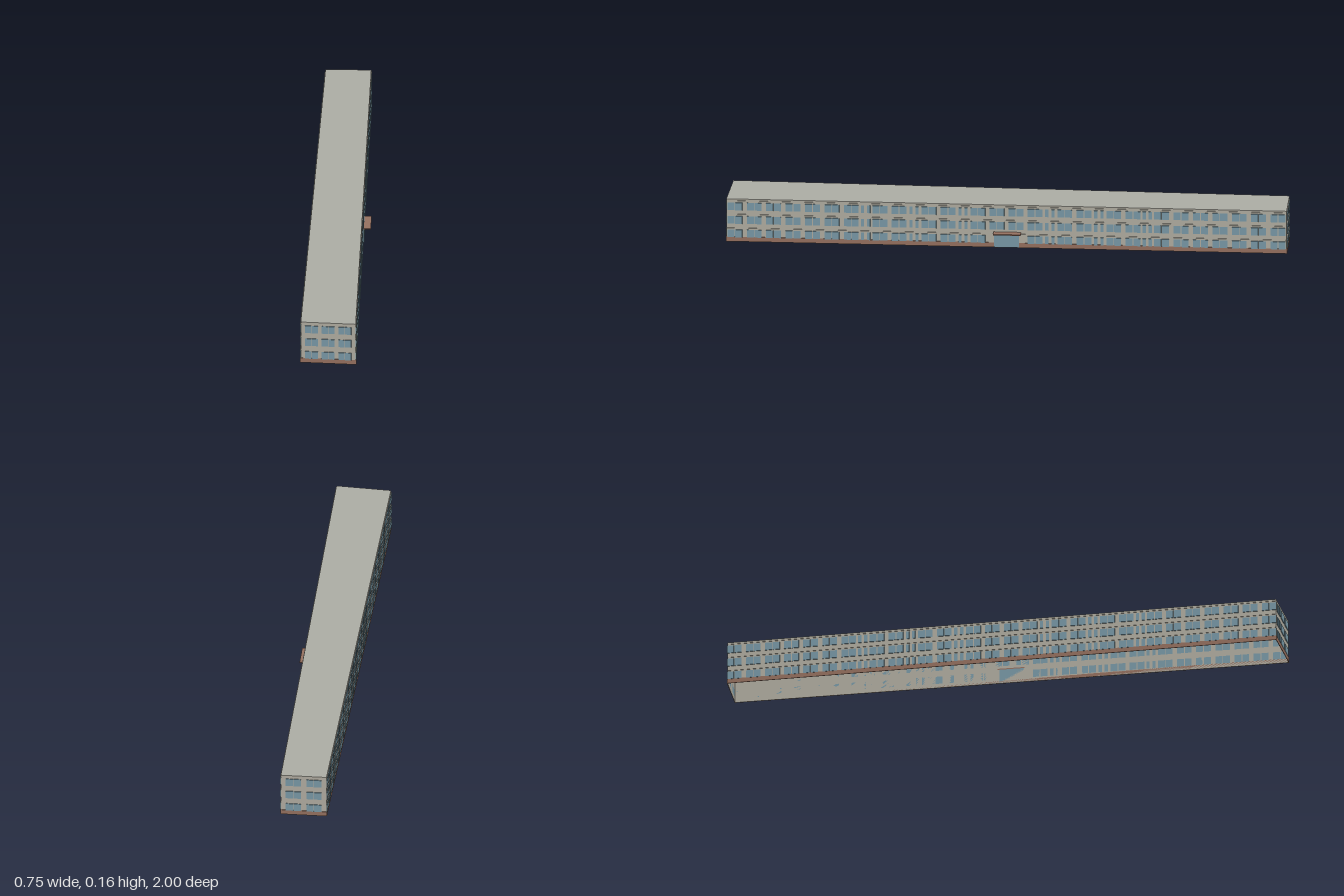
import * as THREE from 'three';

const H = 0.163;
const ROWS = [0.031, 0.083, 0.135]; // window centre heights
const WINDOW_H = 0.029;

// footprint corners as [x, z]
const FRONT_LEFT = [0.371, 0.953], FRONT_RIGHT = [0.176, 0.998];
const BACK_LEFT = [-0.212, -0.998], BACK_RIGHT = [-0.371, -0.95];

export function createModel() {
  const model = new THREE.Group();
  model.name = 'longBuilding';

  const wallMat = new THREE.MeshStandardMaterial({ color: 0xb0aca0, side: THREE.DoubleSide });
  wallMat.name = 'wallRender';
  const roofMat = new THREE.MeshStandardMaterial({ color: 0xabaca4, side: THREE.DoubleSide });
  roofMat.name = 'roofGrey';
  const glassMat = new THREE.MeshStandardMaterial({ color: 0x7898a6 });
  glassMat.name = 'windowGlass';
  const plinthMat = new THREE.MeshStandardMaterial({ color: 0x95705f });
  plinthMat.name = 'plinthBrown';

  // box standing off the wall plane of its facade group
  function plate(parent, name, mat, x, y, w, h, depth) {
    const mesh = new THREE.Mesh(new THREE.BoxGeometry(w, h, depth), mat);
    mesh.position.set(x, y, depth / 2);
    mesh.name = name;
    parent.add(mesh);
    return mesh;
  }

  // two panes with a thin mullion gap
  function windowPair(parent, x, y, w, gap) {
    const pane = (w - gap) / 2;
    for (const s of [-1, 1]) {
      plate(parent, 'windowPane', glassMat, x + s * (pane + gap) / 2, y, pane, WINDOW_H, 0.003);
    }
  }

  // wall between two corners; local +z points outward, local x runs from p to q
  function facade(name, p, q) {
    const dx = q[0] - p[0], dz = q[1] - p[1];
    const length = Math.hypot(dx, dz);
    const group = new THREE.Group();
    group.name = name;
    group.position.set((p[0] + q[0]) / 2, 0, (p[1] + q[1]) / 2);
    group.rotation.y = Math.atan2(-dz, dx);
    const wall = new THREE.Mesh(new THREE.PlaneGeometry(length, H), wallMat);
    wall.position.y = H / 2;
    wall.name = 'wall';
    group.add(wall);
    plate(group, 'plinth', plinthMat, 0, 0.009, length, 0.018, 0.002);
    model.add(group);
    return { group, length };
  }

  // long facade: wide windows broken by narrow stair windows, mirrored about the middle
  function longFacade(name, p, q, hasEntrance) {
    const { group, length } = facade(name, p, q);
    const wide = [0.035, 0.104, 0.212, 0.282, 0.39, 0.46];
    for (let i = 0; i < 7; i++) wide.push(0.564 + i * 0.0705);
    const narrow = [0.158, 0.336, 0.512];
    ROWS.forEach((y, row) => {
      for (const s of [-1, 1]) {
        for (const x of wide) {
          if (hasEntrance && row === 0 && x < 0.05) continue;
          windowPair(group, s * x, y, 0.054, 0.003);
        }
        for (const x of narrow) windowPair(group, s * x, y, 0.034, 0.01);
      }
    });
    for (const y of [0.051, 0.104, 0.156]) {
      plate(group, 'stringCourse', wallMat, 0, y, length, 0.002, 0.002);
    }
    return group;
  }

  // end facade: a few evenly spaced windows per floor
  function endFacade(name, p, q, columns, spacing, width) {
    const { group } = facade(name, p, q);
    for (const y of ROWS) {
      for (let i = 0; i < columns; i++) {
        windowPair(group, (i - (columns - 1) / 2) * spacing, y, width, 0.002);
      }
    }
  }

  const entranceSide = longFacade('leftFacade', FRONT_LEFT, BACK_LEFT, true);
  longFacade('rightFacade', BACK_RIGHT, FRONT_RIGHT, false);
  endFacade('frontFacade', FRONT_RIGHT, FRONT_LEFT, 3, 0.0605, 0.047);
  endFacade('backFacade', BACK_LEFT, BACK_RIGHT, 2, 0.075, 0.055);

  // glazed entrance under a flat canopy
  plate(entranceSide, 'entranceGlazing', glassMat, 0, 0.028, 0.09, 0.054, 0.004);
  plate(entranceSide, 'entranceCanopy', plinthMat, 0.003, 0.057, 0.1, 0.004, 0.028);

  // flat roof over the footprint
  const outline = [FRONT_RIGHT, FRONT_LEFT, BACK_LEFT, BACK_RIGHT]
    .map(([x, z]) => new THREE.Vector2(x, -z));
  const roof = new THREE.Mesh(new THREE.ShapeGeometry(new THREE.Shape(outline)), roofMat);
  roof.rotation.x = -Math.PI / 2;
  roof.position.y = H;
  roof.name = 'roof';
  model.add(roof);

  return model;
}
